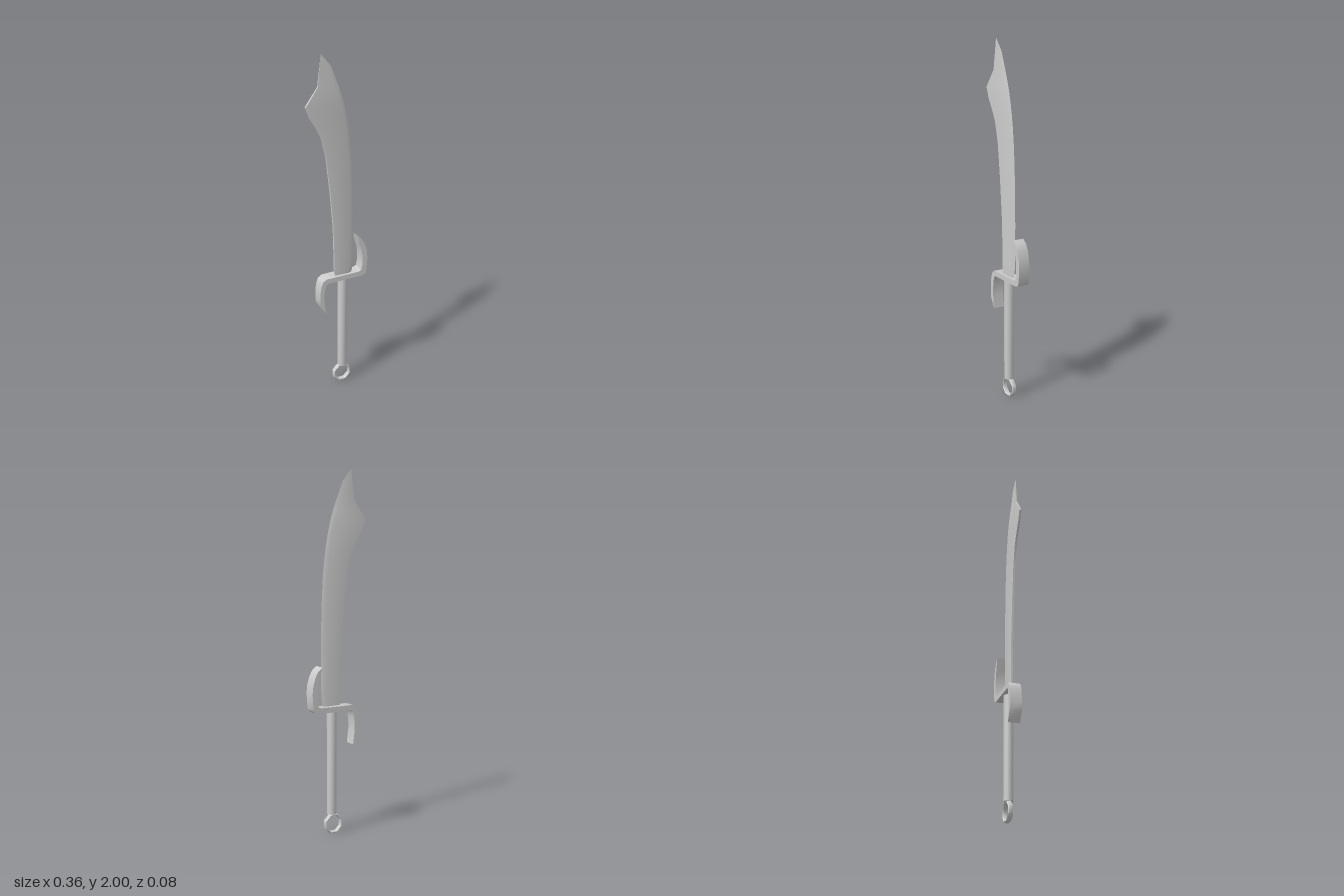
import * as THREE from 'three';
import { toCreasedNormals } from 'three/addons/utils/BufferGeometryUtils.js';

const steel = new THREE.MeshStandardMaterial({ color: 0xcccccc });

function part(name, geometry, x = 0, y = 0, z = 0) {
  const mesh = new THREE.Mesh(geometry, steel);
  mesh.name = name;
  mesh.position.set(x, y, z);
  return mesh;
}

// Blade: five-point sections (blunt back, flat faces, bevelled cutting edge) stacked up y
function bladeGeometry() {
  // y, back x, cutting edge x
  const rows = [
    [0.70, -0.016, 0.085], [0.74, -0.017, 0.094], [0.80, -0.018, 0.1], [1.02, -0.024, 0.101],
    [1.25, -0.044, 0.097], [1.44, -0.066, 0.087], [1.553, -0.093, 0.074], [1.617, -0.125, 0.064],
    [1.675, -0.16, 0.052], [1.733, -0.18, 0.038], [1.78, -0.146, 0.023], [1.83, -0.11, 0.005],
    [1.934, -0.098, -0.036], [2.0, -0.091, -0.09],
  ];
  const positions = [], index = [];
  for (const [y, back, edge] of rows) {
    const w = edge - back;
    const taper = Math.min(1, (2 - y) / 0.25);
    const bevel = edge - Math.min(0.024, w * 0.3);
    const tb = 0.006 * taper, tf = 0.01 * taper;
    positions.push(back, y, tb, bevel, y, tf, edge, y, 0, bevel, y, -tf, back, y, -tb);
  }
  for (let r = 0; r < rows.length - 1; r++) {
    for (let i = 0; i < 5; i++) {
      const a = r * 5 + i, b = r * 5 + (i + 1) % 5;
      index.push(a, b, b + 5, a, b + 5, a + 5);
    }
  }
  const top = (rows.length - 1) * 5;
  for (let i = 1; i < 4; i++) {
    index.push(0, i + 1, i, top, top + i, top + i + 1);
  }
  const g = new THREE.BufferGeometry();
  g.setAttribute('position', new THREE.Float32BufferAttribute(positions, 3));
  g.setIndex(index);
  return toCreasedNormals(g, 0.5);
}

// Guard: flat S-shaped strip, one hook up and one hook down
function guardGeometry() {
  const outline = [
    [-0.08, 0.497], [-0.09, 0.574], [-0.09, 0.61], [-0.086, 0.65], [-0.08, 0.678], [-0.068, 0.691],
    [0.0, 0.691], [0.145, 0.69], [0.163, 0.697], [0.172, 0.715], [0.178, 0.80], [0.173, 0.845],
    [0.16, 0.89], [0.142, 0.922], [0.116, 0.943], [0.13, 0.89], [0.142, 0.85], [0.148, 0.80],
    [0.146, 0.755], [0.14, 0.728], [0.125, 0.72], [0.0, 0.72], [-0.077, 0.72], [-0.098, 0.705],
    [-0.107, 0.68], [-0.114, 0.64], [-0.115, 0.60], [-0.113, 0.555],
  ];
  const shape = new THREE.Shape(outline.map(([x, y]) => new THREE.Vector2(x, y)));
  const g = new THREE.ExtrudeGeometry(shape, { depth: 0.066, bevelEnabled: false });
  g.translate(0, 0, -0.033);
  return toCreasedNormals(g, 0.8);
}

export function createModel() {
  const sword = new THREE.Group();
  sword.name = 'sword';

  sword.add(part('blade', bladeGeometry(), 0, 0, 0.006));
  sword.add(part('guard', guardGeometry(), 0, 0, -0.003));

  // Grip: plain round rod
  const grip = new THREE.CylinderGeometry(0.027, 0.027, 0.6, 12);
  sword.add(part('grip', toCreasedNormals(grip, 0.8), 0.035, 0.41, 0.003));

  // Pommel: octagonal ring, deeper than it is thick
  const ring = new THREE.TorusGeometry(0.052, 0.007, 8, 8);
  ring.rotateZ(Math.PI / 8);
  ring.scale(1, 1, 2);
  sword.add(part('pommelRing', toCreasedNormals(ring, 0.9), 0.031, 0.055, -0.002));

  // The whole sword is turned slightly about its length
  sword.rotation.y = -0.057;
  const model = new THREE.Group();
  model.name = 'model';
  model.add(sword);
  return model;
}
